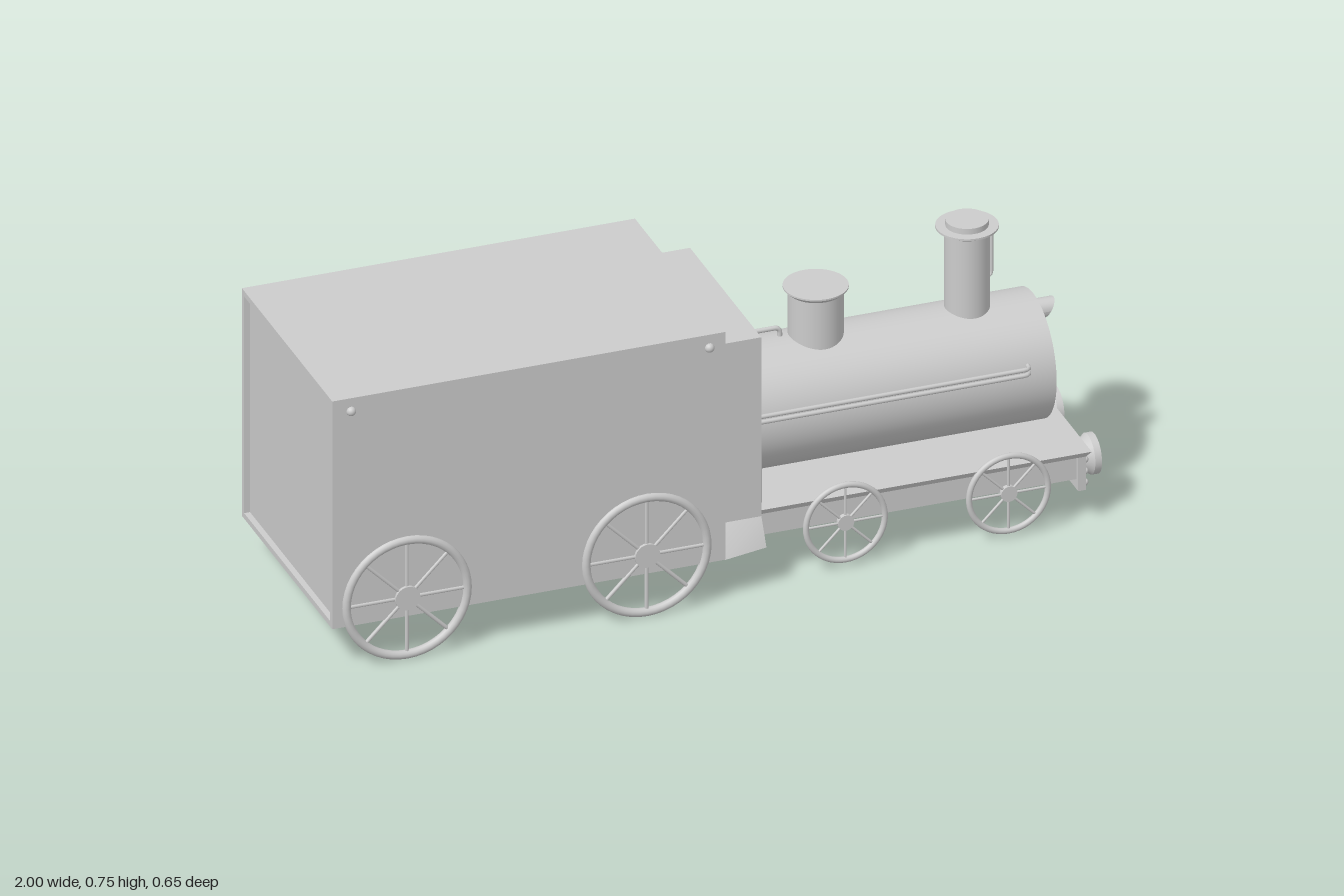
import * as THREE from 'three';

const mat = new THREE.MeshStandardMaterial({ color: 0xcccccc });
const AXIS_Z = 0.017; // boiler centre line

function add(parent, name, geometry, x = 0, y = 0, z = 0) {
  const mesh = new THREE.Mesh(geometry, mat);
  mesh.name = name;
  mesh.position.set(x, y, z);
  parent.add(mesh);
  return mesh;
}

// Box given by its limits on each axis
function block(parent, name, [x0, x1], [y0, y1], [z0, z1]) {
  return add(parent, name, new THREE.BoxGeometry(x1 - x0, y1 - y0, z1 - z0),
    (x0 + x1) / 2, (y0 + y1) / 2, (z0 + z1) / 2);
}

// Box whose corners are placed by a rule: (isFront, isTop, isLeft) -> [x, y, z]
function skewBlock(parent, name, rule) {
  const geo = new THREE.BoxGeometry(1, 1, 1);
  const p = geo.attributes.position;
  for (let i = 0; i < p.count; i++) p.setXYZ(i, ...rule(p.getX(i) > 0, p.getY(i) > 0, p.getZ(i) > 0));
  geo.computeVertexNormals();
  return add(parent, name, geo);
}

// Turned part with sharp edges: every profile segment gets its own lathe
function turned(parent, name, profile, segments = 48) {
  const group = new THREE.Group();
  group.name = name;
  for (let i = 0; i < profile.length - 1; i++) {
    const pts = [profile[i], profile[i + 1]].map(([r, h]) => new THREE.Vector2(r, h));
    add(group, name + 'Section', new THREE.LatheGeometry(pts, segments));
  }
  parent.add(group);
  return group;
}

// Bent rod through points, with rounded ends
function rod(parent, name, points, radius) {
  const path = new THREE.CurvePath();
  const v = points.map((p) => new THREE.Vector3(...p));
  const bend = 0.015;
  let from = v[0];
  for (let i = 1; i < v.length - 1; i++) {
    const a = v[i].clone().add(v[i - 1].clone().sub(v[i]).setLength(bend));
    const b = v[i].clone().add(v[i + 1].clone().sub(v[i]).setLength(bend));
    path.add(new THREE.LineCurve3(from, a));
    path.add(new THREE.QuadraticBezierCurve3(a, v[i], b));
    from = b;
  }
  path.add(new THREE.LineCurve3(from, v[v.length - 1]));
  add(parent, name, new THREE.TubeGeometry(path, 80, radius, 10));
  for (const end of [v[0], v[v.length - 1]]) {
    add(parent, name + 'End', new THREE.SphereGeometry(radius, 10, 8), end.x, end.y, end.z);
  }
}

function stud(parent, name, x, y, z, r) {
  add(parent, name, new THREE.SphereGeometry(r, 16, 12), x, y, z);
}

// Spoked wheel in the xy plane
function wheel(parent, name, x, y, z, radius, tube) {
  const group = new THREE.Group();
  group.name = name;
  group.position.set(x, y, z);
  add(group, 'rim', new THREE.TorusGeometry(radius - tube, tube, 12, 48));
  add(group, 'hub', new THREE.CylinderGeometry(radius * 0.19, radius * 0.19, tube * 1.6, 24).rotateX(Math.PI / 2));
  const length = radius - tube;
  for (let i = 0; i < 8; i++) {
    const spoke = new THREE.CylinderGeometry(tube * 0.45, tube * 0.45, length, 8);
    spoke.translate(0, length / 2, 0).rotateZ((i * Math.PI) / 4);
    add(group, 'spoke', spoke);
  }
  parent.add(group);
}

function buildCarriage() {
  const g = new THREE.Group();
  g.name = 'carriage';
  block(g, 'carriageBody', [-0.985, 0], [0.115, 0.73], [-0.297, 0.315]);

  // Raised border around the rear wall
  const border = new THREE.Shape([[-0.315, 0.115], [0.297, 0.115], [0.297, 0.73], [-0.315, 0.73]]
    .map(([a, b]) => new THREE.Vector2(a, b)));
  border.holes.push(new THREE.Path([[-0.3, 0.13], [-0.3, 0.715], [0.282, 0.715], [0.282, 0.13]]
    .map(([a, b]) => new THREE.Vector2(a, b))));
  const frame = new THREE.ExtrudeGeometry(border, { depth: 0.015, bevelEnabled: false });
  add(g, 'rearBorder', frame.rotateY(Math.PI / 2), -1, 0, 0);

  for (const x of [-0.952, -0.04]) {
    stud(g, 'leftStud', x, 0.695, 0.315, 0.012);
    stud(g, 'rightStud', x, 0.695, -0.297, 0.012);
  }
  for (const x of [-0.81, -0.2]) {
    wheel(g, 'leftLargeWheel', x, 0.166, 0.314, 0.165, 0.011);
    wheel(g, 'rightLargeWheel', x, 0.166, -0.313, 0.165, 0.011);
  }
  return g;
}

function buildCab() {
  const g = new THREE.Group();
  g.name = 'cab';
  block(g, 'cabBody', [0, 0.115], [0.18, 0.663], [-0.23, 0.253]);
  // Skirt flaring out below the cab
  skewBlock(g, 'cabSkirt', (front, top, left) => {
    const z = top ? [-0.23, 0.253] : front ? [-0.32, 0.288] : [-0.297, 0.313];
    return [front ? 0.115 : 0, top ? 0.18 : 0.113, z[left ? 1 : 0]];
  });
  return g;
}

function buildChassis() {
  const g = new THREE.Group();
  g.name = 'chassis';
  block(g, 'frame', [0.1, 0.935], [0.118, 0.18], [-0.2, 0.233]);
  // Deck with undercut front and sides
  skewBlock(g, 'deck', (front, top, left) => [
    front ? (top ? 0.957 : 0.945) : 0.1,
    top ? 0.194 : 0.18,
    left ? (top ? 0.25 : 0.243) : (top ? -0.225 : -0.217),
  ]);
  block(g, 'bufferBeam', [0.925, 0.945], [0.09, 0.181], [-0.217, 0.243]);
  for (const y of [0.107, 0.137, 0.168]) {
    for (const z of [-0.197, 0.234]) stud(g, 'beamRivet', 0.945, y, z, 0.009);
  }
  for (const z of [-0.101, 0.154]) {
    const buffer = turned(g, 'buffer', [[0.042, 0], [0.036, 0.022], [0.051, 0.04], [0.051, 0.057], [0, 0.057]], 32);
    buffer.rotation.z = -Math.PI / 2;
    buffer.position.set(0.943, 0.136, z);
  }
  for (const x of [0.33, 0.745]) {
    wheel(g, 'leftSmallWheel', x, 0.122, 0.25, 0.108, 0.0075);
    wheel(g, 'rightSmallWheel', x, 0.122, -0.217, 0.108, 0.0075);
    const axle = new THREE.CylinderGeometry(0.012, 0.012, 0.467, 16).rotateX(Math.PI / 2);
    add(g, 'axle', axle, x, 0.122, 0.0165);
  }
  return g;
}

function buildBoiler() {
  const g = new THREE.Group();
  g.name = 'boiler';
  const shell = turned(g, 'boilerShell',
    [[0.16, 0], [0.16, 0.785], [0.148, 0.785], [0.148, 0.781], [0, 0.781]], 64);
  shell.rotation.z = -Math.PI / 2;
  shell.position.set(0.11, 0.358, AXIS_Z);
  for (const z of [-0.107, 0.143]) stud(g, 'frontStud', 0.892, 0.367, z, 0.009);

  // Chimney and dome rise from inside the boiler
  turned(g, 'chimney', [[0.055, 0.44], [0.055, 0.718], [0.076, 0.73], [0.076, 0.735],
    [0.052, 0.735], [0.052, 0.75], [0, 0.75]]).position.set(0.727, 0, AXIS_Z);
  turned(g, 'dome', [[0.067, 0.44], [0.067, 0.63], [0.079, 0.641], [0.079, 0.645], [0, 0.645]])
    .position.set(0.342, 0, AXIS_Z);
  rod(g, 'chimneyHandle', [[0.77, 0.7, 0], [0.796, 0.7, 0], [0.796, 0.575, 0], [0.77, 0.575, 0]], 0.004);

  // Lamp with a slanted lip
  const lamp = new THREE.CylinderGeometry(0.025, 0.025, 0.06, 24).rotateZ(-Math.PI / 2);
  const p = lamp.attributes.position;
  for (let i = 0; i < p.count; i++) if (p.getX(i) > 0) p.setX(i, 0.018 + p.getY(i) * 0.6);
  lamp.computeVertexNormals();
  add(g, 'lamp', lamp, 0.914, 0.474, AXIS_Z);

  // Paired rails along both flanks
  for (const side of [-1, 1]) {
    for (const y of [0.395, 0.41]) {
      const inner = AXIS_Z + side * 0.145, outer = AXIS_Z + side * 0.169;
      rod(g, 'sideRail', [[0.11, y, outer], [0.825, y, outer], [0.825, y, inner]], 0.0055);
    }
  }
  // Pipes joining the cab to boiler and deck
  rod(g, 'topPipe', [[0.1, 0.54, 0.005], [0.255, 0.54, 0.005], [0.255, 0.49, 0.005]], 0.006);
  rod(g, 'deckPipe', [[0.1, 0.345, 0.21], [0.128, 0.345, 0.21], [0.128, 0.18, 0.21]], 0.005);
  return g;
}

export function createModel() {
  const model = new THREE.Group();
  model.name = 'steamTrain';
  model.add(buildCarriage(), buildCab(), buildChassis(), buildBoiler());
  return model;
}
